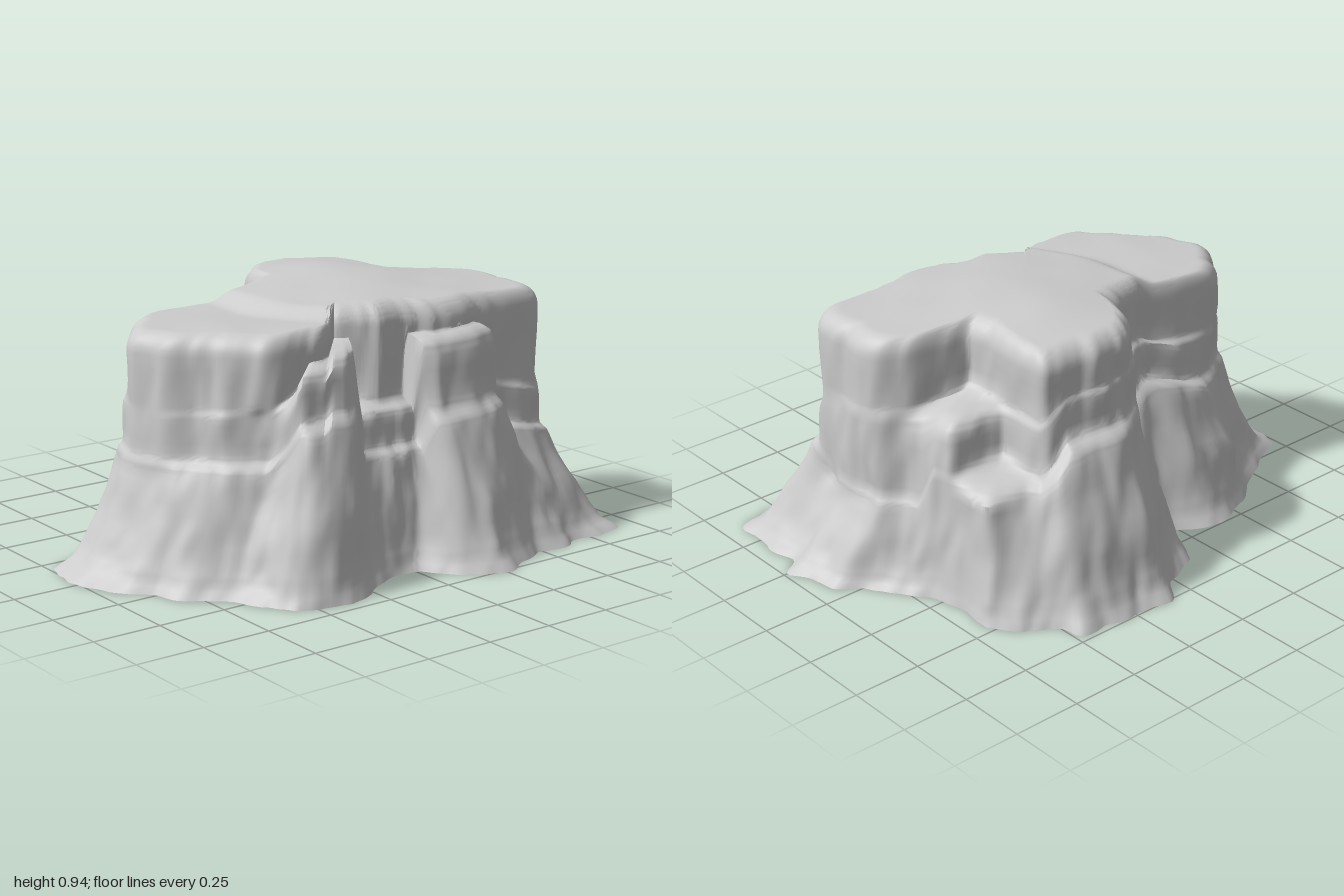
import * as THREE from 'three';
import { toCreasedNormals } from 'three/addons/utils/BufferGeometryUtils.js';

const CX = 0.05, CZ = 0.05, SEG = 320, CAP = 40, ROUND = 0.075;

// Horizontal contours of the rock as x, z pairs, from the ground upwards
const ground = [-1, 0, -.98, -.2, -.85, -.25, -.7, -.35, -.6, -.43, -.4, -.5, -.3, -.47, -.2, -.4, -.19, -.48, -.15, -.6,
  .03, -.68, .1, -.78, .2, -.75, .35, -.73, .48, -.73, .5, -.65, .58, -.58, .7, -.48, .67, -.35, .72, -.2, .78, -.1,
  .85, 0, .93, .05, .92, .12, 1, .25, .9, .3, .93, .4, .92, .62, .8, .67, .7, .64, .6, .7, .48, .68, .35, .72, .25, .78,
  .1, .7, .02, .6, -.1, .58, -.22, .62, -.3, .7, -.45, .7, -.58, .65, -.65, .55, -.67, .45, -.8, .36, -.85, .25, -.95, .15];
const foot = [-.86, 0, -.84, -.15, -.68, -.27, -.55, -.38, -.38, -.42, -.22, -.36, -.12, -.46, .02, -.58, .12, -.66,
  .45, -.63, .52, -.54, .64, -.45, .66, -.25, .73, -.05, .83, .05, .85, .22, .81, .35, .81, .52, .62, .58, .5, .58,
  .4, .62, .25, .66, .12, .62, .05, .54, -.1, .52, -.2, .55, -.3, .64, -.46, .64, -.54, .55, -.58, .42, -.74, .3, -.82, .18];
const waist = [-.79, 0, -.76, -.14, -.62, -.24, -.5, -.3, -.33, -.32, -.22, -.29, -.09, -.34, .0, -.48, .12, -.56,
  .43, -.54, .48, -.46, .63, -.42, .64, -.25, .69, -.05, .76, .02, .77, .2, .73, .3, .74, .44, .58, .48, .5, .47,
  .42, .55, .16, .57, .08, .5, -.12, .47, -.2, .5, -.25, .56, -.45, .57, -.48, .44, -.6, .35, -.74, .19];
const shelf = [-.77, 0, -.74, -.11, -.6, -.22, -.4, -.24, -.3, -.22, -.08, -.28, -.03, -.42, .1, -.5, .41, -.46,
  .44, -.27, .64, -.24, .66, -.03, .74, .03, .75, .18, .72, .4, .6, .43, .48, .42, .42, .5, .16, .51, .1, .45,
  -.14, .44, -.2, .46, -.24, .51, -.45, .5, -.48, .38, -.59, .3, -.73, .15];
const crown = [-.77, 0, -.74, -.09, -.67, -.17, -.58, -.215, -.4, -.21, -.32, -.18, -.07, -.26, -.03, -.41, .1, -.49,
  .4, -.45, .42, -.08, .65, -.03, .73, .04, .74, .18, .73, .34, .68, .4, .3, .43, .19, .43, .14, .39, -.02, .39,
  -.15, .29, -.24, .39, -.45, .41, -.52, .36, -.58, .29, -.73, .14];

// Wall levels: height, lower contour, upper contour, blend
const levels = [
  [0, ground, foot, 0], [.04, ground, foot, .36], [.1, ground, foot, .67], [.2, foot, waist, 0], [.31, foot, waist, .58],
  [.4, waist, shelf, 0], [.425, waist, shelf, .2], [.455, waist, shelf, .88], [.48, shelf, crown, 0],
  [.585, shelf, crown, .05], [.615, shelf, crown, .2], [.64, shelf, crown, .92], [.66, crown, crown, 0], [.8, crown, crown, 0],
];

// Heights of the lower and upper ledge around the rock: degrees, lower, upper
const ledges = [
  [-180, .43, .6], [-150, .46, .64], [-132, .52, .66], [-112, .42, .6], [-104, .56, .72], [-62, .55, .7], [-53, .44, .63],
  [-20, .44, .63], [-14, .3, .62], [22, .3, .6], [27, .36, .5], [44, .42, .58], [49, .52, .78], [80, .5, .76], [84, .4, .54],
  [115, .4, .54], [119, .56, .76], [137, .58, .76], [141, .5, .66], [147, .43, .62], [180, .43, .6],
];

// Distance from the centre to a contour along an angle
function reach(loop, a) {
  const dx = Math.cos(a), dz = Math.sin(a), n = loop.length;
  let best = 0;
  for (let i = 0; i < n; i += 2) {
    const px = loop[i] - CX, pz = loop[i + 1] - CZ;
    const ex = loop[(i + 2) % n] - CX - px, ez = loop[(i + 3) % n] - CZ - pz;
    const det = dx * ez - dz * ex;
    if (Math.abs(det) < 1e-9) continue;
    const s = (px * dz - pz * dx) / det, t = (px * ez - pz * ex) / det;
    if (s >= -1e-6 && s <= 1 + 1e-6 && t > best) best = t;
  }
  return best;
}
// The same with corners worn round
const wornReach = (loop, a) => (reach(loop, a - .025) + 2 * reach(loop, a) + reach(loop, a + .025)) / 4;

// Smooth seeded value noise in the range -1 to 1
function hash(x, y, z) {
  const s = Math.sin(x * 127.1 + y * 311.7 + z * 74.7) * 43758.5453;
  return s - Math.floor(s);
}
function noise(x, y, z) {
  const f = [x, y, z].map(Math.floor);
  const [u, v, w] = [x - f[0], y - f[1], z - f[2]].map(t => t * t * (3 - 2 * t));
  let sum = 0;
  for (let i = 0; i < 8; i++) {
    const a = i & 1, b = (i >> 1) & 1, c = i >> 2;
    sum += hash(f[0] + a, f[1] + b, f[2] + c) * (a ? u : 1 - u) * (b ? v : 1 - v) * (c ? w : 1 - w);
  }
  return sum * 2 - 1;
}

// Height of the flat top: gently domed plateau with a lower round column at -x
function topHeight(x, z) {
  const edge = -.3 + 1.3 * Math.max(z, 0) ** 2;
  const main = .89 + .05 * Math.exp(-((x - .15) ** 2 / .12 + (z + .12) ** 2 / .2));
  const column = .858 - .03 * Math.max(0, -.5 - x);
  const k = THREE.MathUtils.smoothstep(x, edge - .05, edge + .05);
  return column + (main - column) * k + .004 * noise(x * 6, 0, z * 6);
}

// Moves the two ledges to their heights at this angle
function shiftLedge(y, a) {
  const deg = THREE.MathUtils.radToDeg(a);
  const i = Math.max(1, ledges.findIndex(l => l[0] >= deg));
  const [p, q] = [ledges[i - 1], ledges[i]];
  const t = (deg - p[0]) / (q[0] - p[0]);
  const low = THREE.MathUtils.lerp(p[1], q[1], t), high = THREE.MathUtils.lerp(p[2], q[2], t);
  if (y < .44) return y / .44 * low;
  if (y < .63) return low + (y - .44) / .19 * (high - low);
  return high + (y - .63) / .17 * (.8 - high);
}

function rockColumn(a) {
  const dx = Math.cos(a), dz = Math.sin(a), points = [];
  const rim = wornReach(crown, a);
  const rimTop = topHeight(CX + dx * rim, CZ + dz * rim);
  // Wall with vertical weathering
  const rough = (r, y) => {
    const x = CX + dx * r, z = CZ + dz * r;
    return r + .016 * noise(x * 10, y * 4, z * 10) + .008 * noise(x * 24, y * 10, z * 24);
  };
  const radii = levels.map(([, lo, hi, m]) => THREE.MathUtils.lerp(wornReach(lo, a), wornReach(hi, a), m));
  for (let i = 0; i < levels.length - 1; i++) {
    for (let s = 0; s < 3; s++) {
      const y = shiftLedge(THREE.MathUtils.lerp(levels[i][0], levels[i + 1][0], s / 3), a);
      const r = rough(THREE.MathUtils.lerp(radii[i], radii[i + 1], s / 3), y);
      points.push([CX + dx * r, y * (rimTop - ROUND) / .8, CZ + dz * r]);
    }
  }
  // Rounded brow running in to the middle of the top
  const outer = rough(rim, .8);
  for (let i = 0; i <= CAP; i++) {
    const r = outer * (1 - (i / CAP) ** 1.5);
    const x = CX + dx * r, z = CZ + dz * r;
    const q = Math.max(0, 1 - (outer - r) / ROUND);
    points.push([x, topHeight(x, z) - ROUND * (1 - Math.sqrt(1 - q * q)), z]);
  }
  return points;
}

export function createModel() {
  const group = new THREE.Group();
  group.name = 'rockMesa';
  const positions = [], index = [];
  const rows = (levels.length - 1) * 3 + CAP + 1;
  for (let j = 0; j < SEG; j++) {
    positions.push(...rockColumn((j / SEG * 2 - 1) * Math.PI).flat());
    const k = (j + 1) % SEG;
    for (let i = 0; i < rows - 1; i++) {
      const p = j * rows + i, q = k * rows + i;
      index.push(p, p + 1, q);
      if (i < rows - 2) index.push(q, p + 1, q + 1);
    }
  }
  const skin = new THREE.BufferGeometry();
  skin.setAttribute('position', new THREE.Float32BufferAttribute(positions, 3));
  skin.setIndex(index);
  // Open underneath, so both sides are drawn
  const stone = new THREE.MeshStandardMaterial({ color: 0xcccccc, side: THREE.DoubleSide });
  const rock = new THREE.Mesh(toCreasedNormals(skin, 0.9), stone);
  rock.name = 'rockSurface';
  group.add(rock);
  return group;
}
